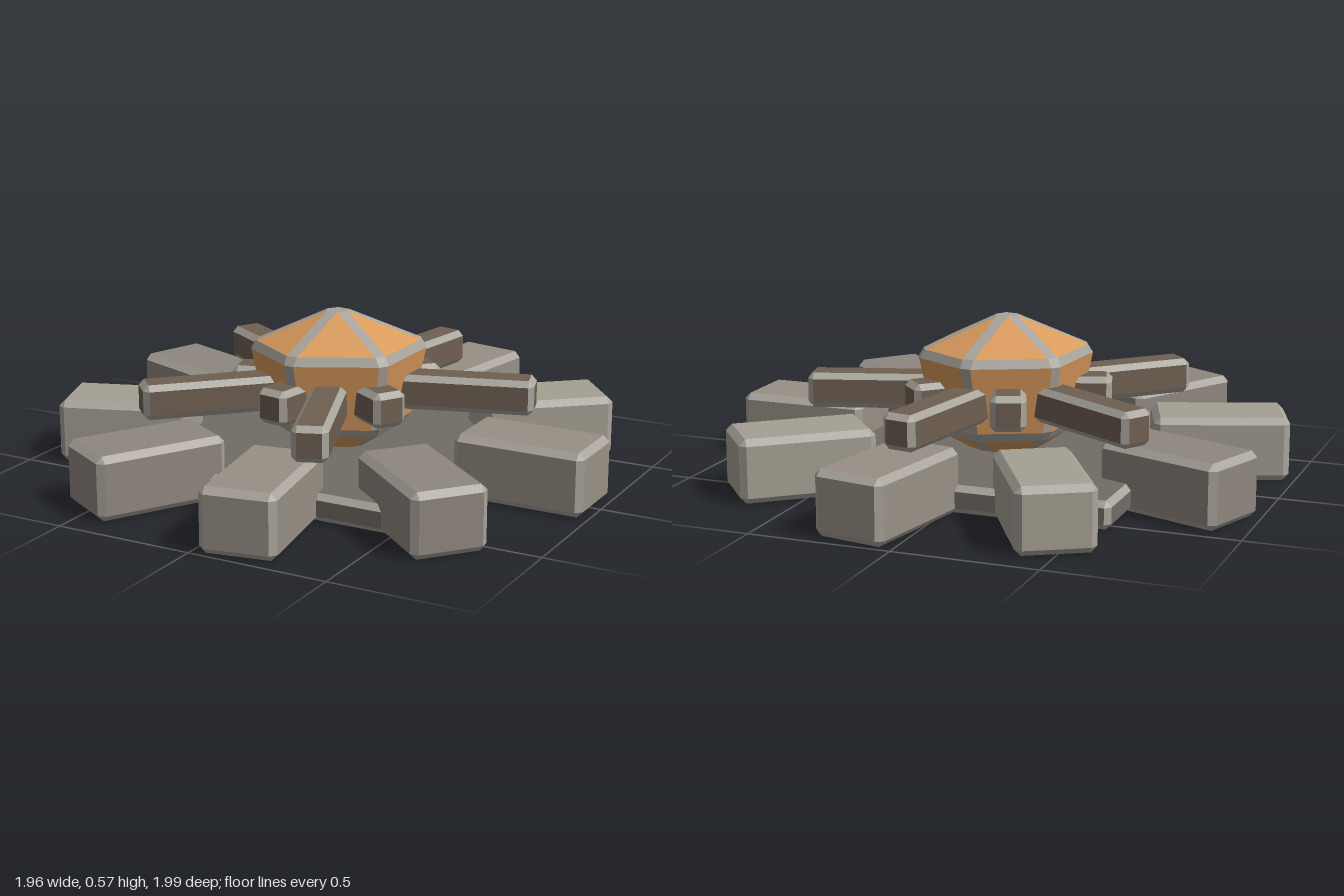
import * as THREE from 'three';

const mat = (color) => new THREE.MeshStandardMaterial({ color, flatShading: true, roughness: 0.9 });

// Convex solid with every edge and corner bevelled; faces use material 0, bevels material 1.
function bevelSolid(verts, faces, d) {
  const edges = new Map();
  const inset = faces.map((face, f) => face.map((v, k) => {
    const n = face.length;
    const next = face[(k + 1) % n];
    edges.set(v + '>' + next, { f, k, k2: (k + 1) % n });
    const p = verts[v];
    const e1 = verts[next].clone().sub(p).normalize();
    const e2 = verts[face[(k + n - 1) % n]].clone().sub(p).normalize();
    const s = d / Math.sin(e1.angleTo(e2));
    return p.clone().add(e1.add(e2).multiplyScalar(s));
  }));
  const pos = [];
  const polygon = (pts) => {
    for (let i = 1; i < pts.length - 1; i++) {
      for (const p of [pts[0], pts[i], pts[i + 1]]) pos.push(p.x, p.y, p.z);
    }
  };
  inset.forEach(polygon);
  const split = pos.length / 3;
  // edge bevels
  for (const [key, e] of edges) {
    const [a, b] = key.split('>').map(Number);
    if (a > b) continue;
    const o = edges.get(b + '>' + a);
    polygon([inset[e.f][e.k2], inset[e.f][e.k], inset[o.f][o.k2], inset[o.f][o.k]]);
  }
  // corner bevels: walk the faces around each corner
  verts.forEach((_, v) => {
    const start = faces.findIndex((face) => face.includes(v));
    const ring = [];
    let f = start;
    do {
      const k = faces[f].indexOf(v);
      ring.unshift(inset[f][k]);
      const next = faces[f][(k + 1) % faces[f].length];
      f = edges.get(next + '>' + v).f;
    } while (f !== start);
    polygon(ring);
  });
  const geo = new THREE.BufferGeometry();
  geo.setAttribute('position', new THREE.Float32BufferAttribute(pos, 3));
  geo.computeVertexNormals();
  geo.addGroup(0, split, 0);
  geo.addGroup(split, pos.length / 3 - split, 1);
  return geo;
}

function bevelBox(w, h, l, d) {
  const verts = [];
  for (let i = 0; i < 8; i++) {
    verts.push(new THREE.Vector3(i & 1 ? w / 2 : -w / 2, i & 2 ? h / 2 : -h / 2, i & 4 ? l / 2 : -l / 2));
  }
  return bevelSolid(verts, [
    [1, 3, 7, 5], [0, 4, 6, 2], [2, 6, 7, 3], [0, 1, 5, 4], [4, 5, 7, 6], [0, 2, 3, 1],
  ], d);
}

// Slightly irregular six-sided gem shape, pointed at both ends
function flameGeometry() {
  const corners = [[0.27, -0.175], [0.04, -0.30], [-0.245, -0.165], [-0.275, 0.14], [-0.03, 0.295], [0.265, 0.145]];
  const ring = (y, s) => corners.map(([x, z]) => new THREE.Vector3(x * s, y, z * s));
  const verts = [new THREE.Vector3(0, 0.01, 0), ...ring(0.17, 0.84), ...ring(0.45, 1.03), new THREE.Vector3(0, 0.588, 0)];
  const faces = [];
  for (let i = 0; i < 6; i++) {
    const j = (i + 1) % 6;
    faces.push([7 + i, 7 + j, 13], [1 + i, 1 + j, 7 + j, 7 + i], [1 + j, 1 + i, 0]);
  }
  return bevelSolid(verts, faces, 0.021);
}

export function createModel() {
  const model = new THREE.Group();
  model.name = 'campfire';
  const bevel = mat(0xa8a49c);
  const add = (name, geo, material, parent = model) => {
    const mesh = new THREE.Mesh(geo, [material, bevel]);
    mesh.name = name;
    parent.add(mesh);
    return mesh;
  };
  // place a part along a ray from the centre, at an angle in degrees
  const placeRadial = (mesh, degrees, radius, y) => {
    const a = THREE.MathUtils.degToRad(degrees);
    mesh.position.set(Math.cos(a) * radius, y, -Math.sin(a) * radius);
    mesh.rotation.y = a;
  };

  // square ash bed
  add('ashBed', bevelBox(1.145, 0.097, 1.145, 0.02), mat(0x716c66)).position.y = 0.0515;

  // ring of nine stones
  const stones = new THREE.Group();
  stones.name = 'stoneRing';
  const stoneGeo = bevelBox(0.475, 0.225, 0.265, 0.022);
  const tones = [mat(0x8f877e), mat(0x989085), mat(0xa5a093)];
  [1, 2, 1, 2, 0, 2, 0, 1, 0].forEach((tone, i) => {
    placeRadial(add('stone', stoneGeo, tones[tone], stones), i * 40, 0.7525, 0.1125);
  });
  model.add(stones);

  // five logs crossing under the flame, each pushed outwards at one end
  const logs = new THREE.Group();
  logs.name = 'logs';
  const logGeo = bevelBox(1.075, 0.125, 0.125, 0.02);
  const wood = mat(0x6f5f52);
  for (const angle of [17.5, 80.2, 148.8, 224.4, 291.4]) {
    placeRadial(add('log', logGeo, wood, logs), angle, 0.167, 0.295);
  }
  model.add(logs);

  // flame
  add('flame', flameGeometry(), mat(0xd99a5c));

  // the ring reaches further on one side, so shift to centre the whole
  model.children.forEach((part) => { part.position.x -= 0.01; });
  return model;
}
